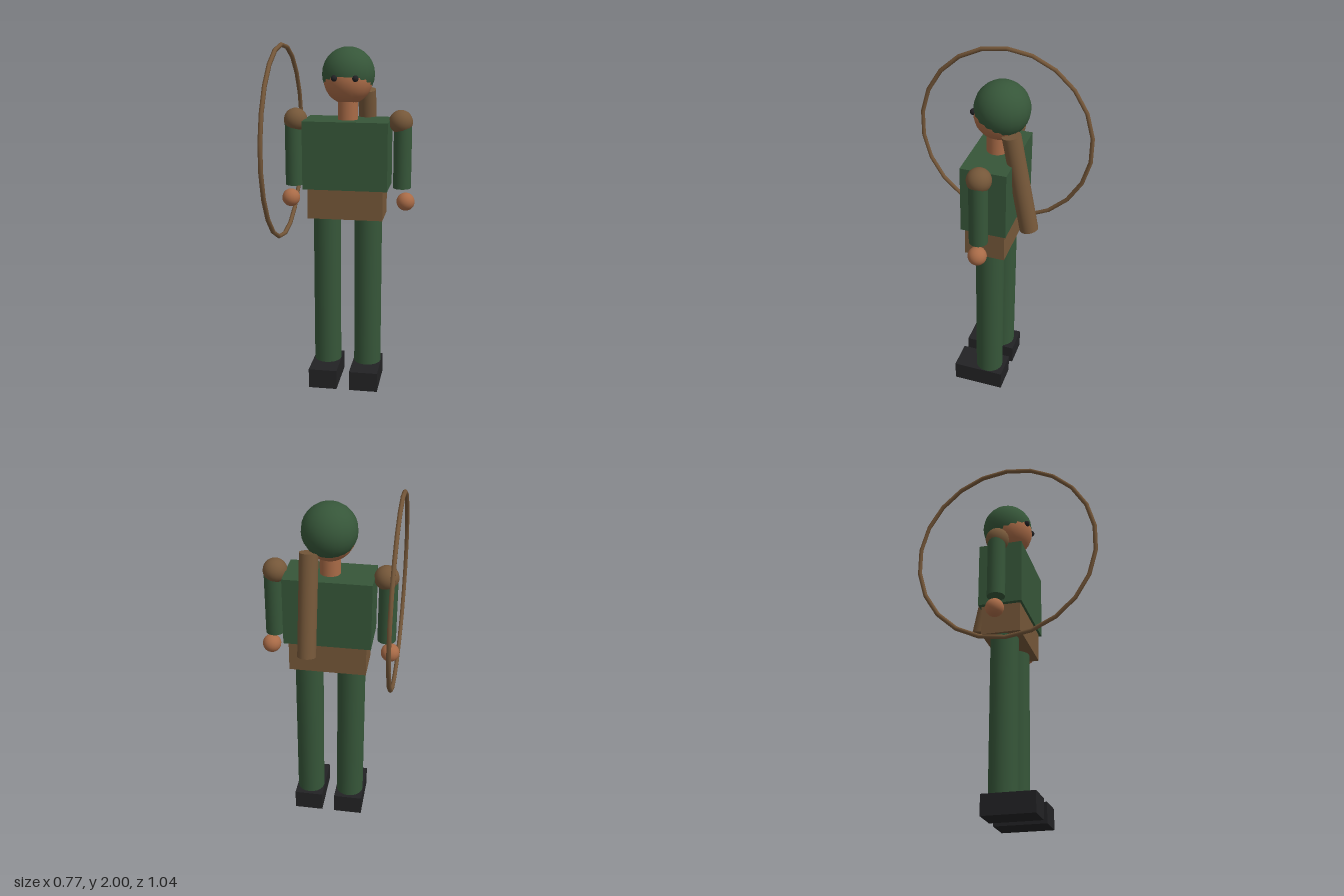
import * as THREE from 'three';

export function createModel() {
  const root = new THREE.Group();
  const mat = (name, color) => {
    const m = new THREE.MeshStandardMaterial({ color });
    m.name = name;
    return m;
  };
  const green = mat('forest green', 0x365639);
  const brown = mat('leather brown', 0x755739);
  const skin = mat('skin', 0xa96b47);
  const black = mat('black', 0x222224);

  const add = (name, geometry, material, x, y, z) => {
    const mesh = new THREE.Mesh(geometry, material);
    mesh.name = name;
    mesh.position.set(x, y, z);
    root.add(mesh);
    return mesh;
  };
  const ball = (r) => new THREE.SphereGeometry(r, 20, 14);
  const rod = (r, h) => new THREE.CylinderGeometry(r, r, h, 20);
  const box = (w, h, d) => new THREE.BoxGeometry(w, h, d);
  const midZ = -0.068;

  // Trunk
  add('torso', box(0.48, 0.385, 0.252), green, 0, 1.3825, midZ);
  add('belt', box(0.428, 0.172, 0.225), brown, 0, 1.104, midZ);

  // Neck and head; the cap overlaps the head, leaving only the face bare
  add('neck', rod(0.057, 0.14), skin, 0, 1.625, midZ);
  add('head', ball(0.138), skin, 0, 1.796, -0.08);
  add('cap', ball(0.149), green, 0, 1.826, -0.093);

  // Paired parts
  for (const [side, s] of [['left', 1], ['right', -1]]) {
    add(side + 'Eye', new THREE.SphereGeometry(0.018, 12, 8), black, s * 0.058, 1.812, 0.044);
    add(side + 'Shoulder', ball(0.067), brown, s * 0.3, 1.566, midZ);
    add(side + 'Arm', rod(0.051, 0.37), green, s * 0.312, 1.375, midZ);
    add(side + 'Hand', ball(0.052), skin, s * 0.334, 1.11, midZ);
    add(side + 'Leg', rod(0.08, 0.915), green, s * 0.12, 0.5675, -0.07);
    add(side + 'Boot', box(0.166, 0.115, 0.296), black, s * 0.12, 0.0575, -0.022);
  }

  // Quiver slung behind the left shoulder, its top leaning forward
  const quiver = add('quiver', rod(0.051, 0.568), brown, 0.095, 1.452, -0.228);
  quiver.rotation.x = 0.196;

  // Bow: a slim oval hoop in the plane x = const, one corner at the top
  const hoop = new THREE.TorusGeometry(0.538, 0.013, 6, 22);
  hoop.rotateZ(Math.PI / 2).scale(0.95, 1, 1).rotateY(Math.PI / 2);
  add('bow', hoop, brown, -0.36, 1.449, 0);

  return root;
}
